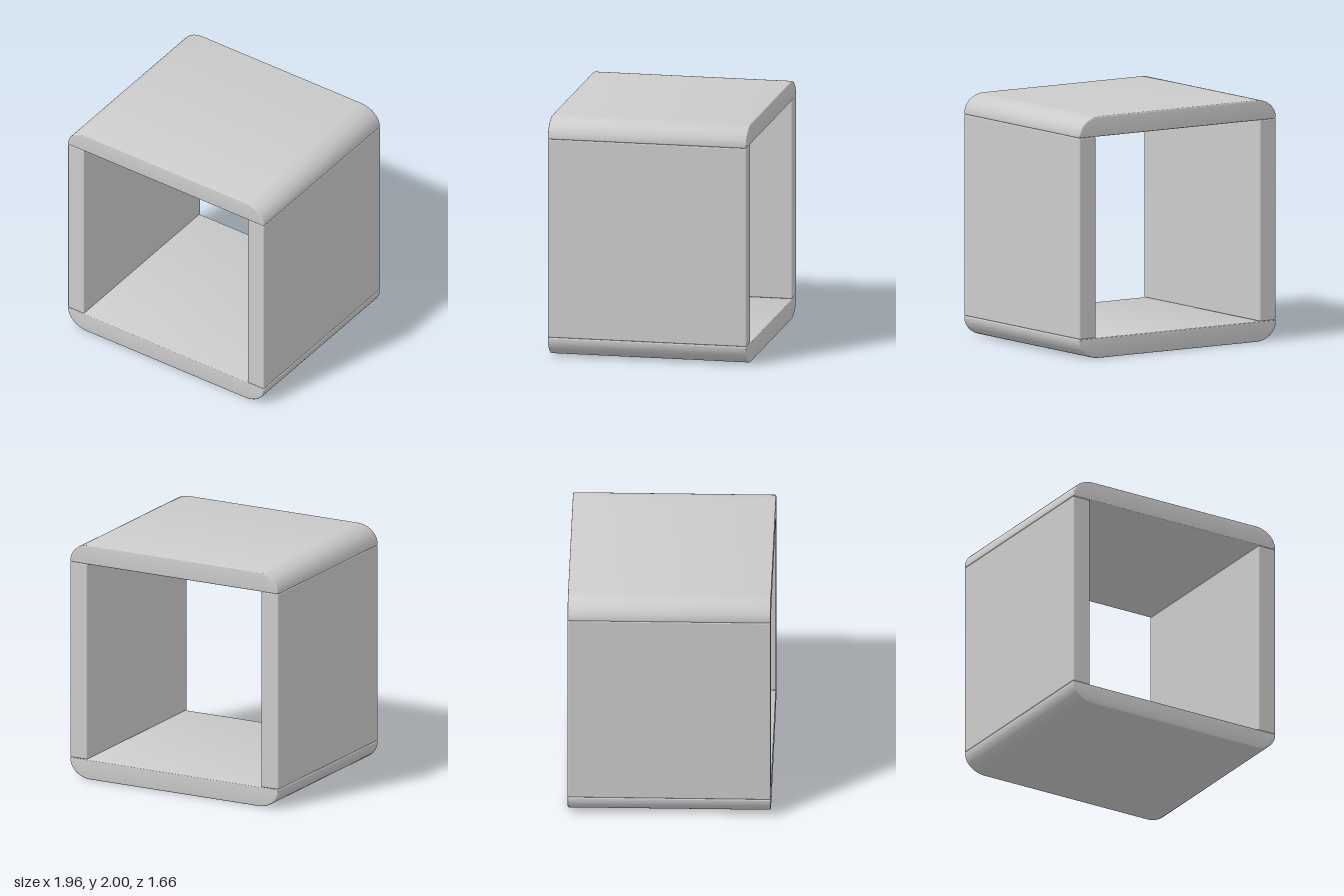
import * as THREE from 'three';
import { toCreasedNormals } from 'three/addons/utils/BufferGeometryUtils.js';
import { RoundedBoxGeometry } from 'three/addons/geometries/RoundedBoxGeometry.js';

const HALF_W = 0.98, DEPTH = 1.664, THICK = 0.167, EDGE = 0.01, CORNER = 0.19;
const material = new THREE.MeshStandardMaterial({ color: 0xcccccc });

// Board with a flat inner face at y = 0 and two rounded outer corners
function boardGeometry() {
  const cx = HALF_W - CORNER, ry = THICK - EDGE;
  const s = new THREE.Shape();
  s.moveTo(-HALF_W + EDGE, 0);
  s.lineTo(HALF_W - EDGE, 0);
  s.quadraticCurveTo(HALF_W, 0, HALF_W, EDGE);
  s.absellipse(cx, EDGE, CORNER, ry, 0, Math.PI / 2, false, 0);
  s.absellipse(-cx, EDGE, CORNER, ry, Math.PI / 2, Math.PI, false, 0);
  s.quadraticCurveTo(-HALF_W, 0, -HALF_W + EDGE, 0);
  const g = new THREE.ExtrudeGeometry(s, {
    depth: DEPTH - 2 * EDGE, curveSegments: 12,
    bevelEnabled: true, bevelSize: EDGE, bevelThickness: EDGE, bevelOffset: -EDGE, bevelSegments: 3,
  });
  g.translate(0, 0, -DEPTH / 2 + EDGE);
  return toCreasedNormals(g, 0.7);
}

export function createModel() {
  const model = new THREE.Group();
  model.name = 'openCubeShelf';
  const add = (name, geometry, x, y) => {
    const mesh = new THREE.Mesh(geometry, material);
    mesh.name = name;
    mesh.position.set(x, y, 0);
    model.add(mesh);
    return mesh;
  };

  // Top board, and the same board turned over as the base
  const board = boardGeometry();
  add('topBoard', board, 0, 2 - THICK);
  add('bottomBoard', board, 0, THICK).rotation.z = Math.PI;

  // Side panels between the boards
  const panel = new RoundedBoxGeometry(0.162, 2 - 2 * THICK, DEPTH, 3, EDGE);
  add('leftPanel', panel, HALF_W - 0.081, 1);
  add('rightPanel', panel, -HALF_W + 0.081, 1);
  return model;
}
